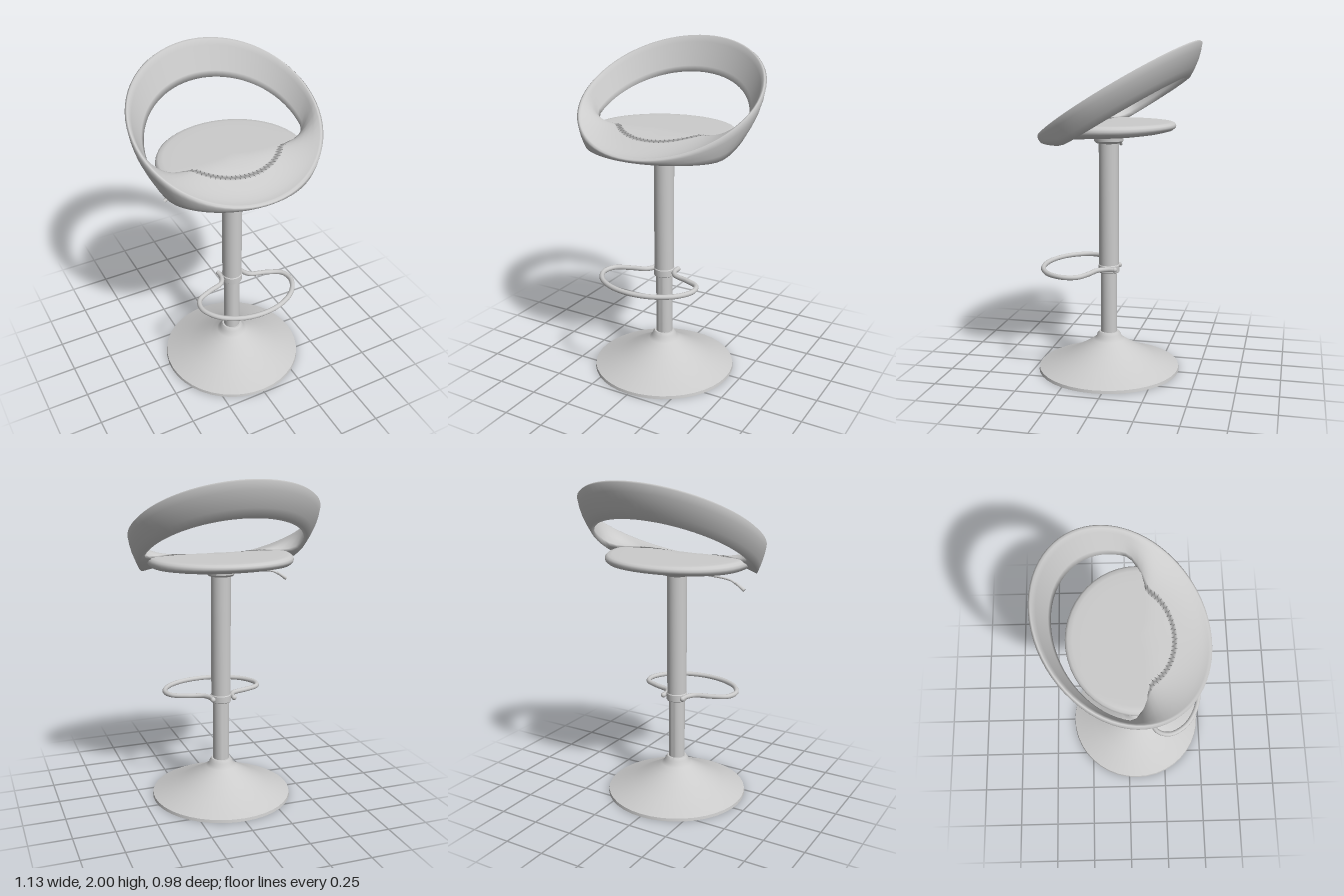
import * as THREE from 'three';
import { mergeVertices, toCreasedNormals } from 'three/addons/utils/BufferGeometryUtils.js';

const { lerp, smoothstep } = THREE.MathUtils;
const AXIS_Z = 0.055; // the column stands slightly forward of the centre
const material = new THREE.MeshStandardMaterial({ color: 0xcccccc });

function part(name, geometry) {
  const mesh = new THREE.Mesh(geometry, material);
  mesh.name = name;
  return mesh;
}

function lathe(name, points, segments = 32) {
  const geometry = new THREE.LatheGeometry(points.map(([r, y]) => new THREE.Vector2(r, y)), segments);
  geometry.translate(0, 0, AXIS_Z);
  return part(name, toCreasedNormals(geometry, 0.6));
}

function tube(name, points, radius, segments) {
  const curve = new THREE.CatmullRomCurve3(points.map((p) => new THREE.Vector3(...p)));
  return part(name, new THREE.TubeGeometry(curve, segments, radius, 10));
}

// Heights shared by the seat and the backrest ring
const seatTop = (z) => 1.53 - 0.09 * smoothstep(z, 0.1, 0.45);
const ringTop = (z) => 2 - 0.58 * (z + 0.49);
const ringBottom = (z) => {
  const d = 1.79 - 0.6 * (z + 0.41) - 1.417;
  return 1.417 + (d + Math.sqrt(d * d + 0.0006)) / 2;
};

// Round cushion: a lathed disc, stretched and dropped at the front
function makeSeat() {
  const profile = [[0, 0], [0.3, 0], [0.6, 0], [0.85, 0], [0.95, 0.04], [0.99, 0.25], [1, 0.5],
    [0.99, 0.75], [0.96, 0.94], [0.9, 1], [0.75, 1], [0.6, 1], [0.4, 1], [0.2, 1], [0, 1]];
  let geometry = new THREE.LatheGeometry(profile.map(([r, y]) => new THREE.Vector2(r, y)), 48);
  const pos = geometry.attributes.position;
  for (let i = 0; i < pos.count; i++) {
    const x = pos.getX(i), s = pos.getZ(i);
    const z = AXIS_Z + s * 0.4;
    const bottom = 1.44 + (s < 0 ? 0.045 * s * s : -0.022 * s) + 0.03 * x * x;
    pos.setXYZ(i, x * 0.44, lerp(bottom, seatTop(z), pos.getY(i)), z);
  }
  geometry.deleteAttribute('uv');
  geometry.deleteAttribute('normal');
  geometry = mergeVertices(geometry, 1e-4);
  geometry.computeVertexNormals();
  return part('seat', geometry);
}

// Cross-section of the tilted ring at one angle; at the front it flows into the seat
function ringSection(angle) {
  const on = (rx, cz, rz) => [rx * Math.sin(angle), cz + rz * Math.cos(angle)];
  const outerTop = on(0.565, -0.0125, 0.4775);
  const innerTop = on(0.543, -0.0125, 0.456);
  const outerBottom = on(0.5, 0.015, 0.44);
  let innerBottom = on(0.478, 0, 0.395);
  const w = smoothstep(innerBottom[1], 0, 0.2);
  const topY = ringTop(outerTop[1]), innerY = topY - 0.004;
  const bottomY = ringBottom(outerBottom[1]);
  const endY = lerp(ringBottom(innerBottom[1]) + 0.006, seatTop(innerBottom[1]), w);
  innerBottom = innerBottom.map((v) => v * (1 - 0.4 * w));
  const points = [];
  for (let i = 0; i <= 4; i++) { // outer wall
    const t = i / 4, bulge = 1 + 0.025 * Math.sin(Math.PI * t) * (1 - 0.6 * w);
    points.push([lerp(outerBottom[0], outerTop[0], t) * bulge, lerp(bottomY, topY - 0.008, t),
      lerp(outerBottom[1], outerTop[1], t) * bulge]);
  }
  points.push([(outerTop[0] + innerTop[0]) / 2, topY, (outerTop[1] + innerTop[1]) / 2]);
  for (let i = 6; i >= 0; i--) { // inner wall
    const t = i / 6;
    const x = lerp(innerBottom[0], innerTop[0], t), z = lerp(innerBottom[1], innerTop[1], t);
    const blended = seatTop(z) + 0.003 + (innerY - seatTop(innerTop[1]) - 0.003) * t * t;
    points.push([x, lerp(lerp(endY, innerY, t), blended, w), z]);
  }
  return points;
}

function makeBackrest() {
  const segments = 72, positions = [], index = [];
  const count = ringSection(0).length;
  for (let i = 0; i < segments; i++) {
    positions.push(...ringSection((i / segments) * Math.PI * 2).flat());
    for (let j = 0; j < count; j++) {
      const k = (j + 1) % count, n = ((i + 1) % segments) * count, c = i * count;
      index.push(c + j, n + j, c + k, n + j, n + k, c + k);
    }
  }
  const geometry = new THREE.BufferGeometry();
  geometry.setAttribute('position', new THREE.Float32BufferAttribute(positions, 3));
  geometry.setIndex(index);
  geometry.computeVertexNormals();
  return part('backrestRing', geometry);
}

// Loop with both ends pinched against the column
function makeFootrest() {
  const group = new THREE.Group();
  group.name = 'footrest';
  const half = [[0.068, 0.005], [0.07, 0.05], [0.1, 0.1], [0.2, 0.135], [0.285, 0.18],
    [0.304, 0.26], [0.25, 0.36], [0.14, 0.43]];
  const path = [...half, [0, 0.455], ...half.map(([x, z]) => [-x, z]).reverse()];
  group.add(tube('footrestLoop', path.map(([x, z]) => [x, 0.642, z]), 0.015, 90));
  for (const side of [-1, 1]) {
    const cap = part('footrestEnd', new THREE.SphereGeometry(0.016, 12, 8));
    cap.position.set(side * 0.068, 0.642, 0.005);
    group.add(cap);
  }
  return group;
}

// Height lever with a thicker grip
function makeLever() {
  const group = new THREE.Group();
  group.name = 'heightLever';
  const z = AXIS_Z + 0.02;
  group.add(tube('leverRod', [[-0.05, 1.42, z], [-0.22, 1.417, z], [-0.35, 1.403, z], [-0.39, 1.38, z]], 0.006, 24));
  const grip = part('leverGrip', new THREE.CylinderGeometry(0.011, 0.007, 0.07, 10));
  grip.position.set(-0.405, 1.374, z);
  grip.rotation.z = Math.PI / 2 + 0.6;
  group.add(grip);
  return group;
}

export function createModel() {
  const model = new THREE.Group();
  model.name = 'barStool';
  model.add(
    lathe('base', [[0, 0], [0.435, 0], [0.432, 0.018], [0.29, 0.07], [0.2, 0.12], [0.14, 0.155], [0.095, 0.185],
      [0.078, 0.2], [0.073, 0.217], [0.06, 0.235], [0, 0.235]], 40),
    lathe('lowerColumn', [[0.05, 0.2], [0.05, 0.63]]),
    lathe('upperColumn', [[0, 0.61], [0.06, 0.61], [0.06, 1.42]]),
    lathe('columnSleeve', [[0.06, 0.612], [0.064, 0.616], [0.064, 0.655], [0.06, 0.66]]),
    lathe('seatMount', [[0.06, 1.4], [0.076, 1.403], [0.087, 1.415], [0.09, 1.46]]),
    makeSeat(),
    makeBackrest(),
    makeFootrest(),
    makeLever(),
  );
  return model;
}
